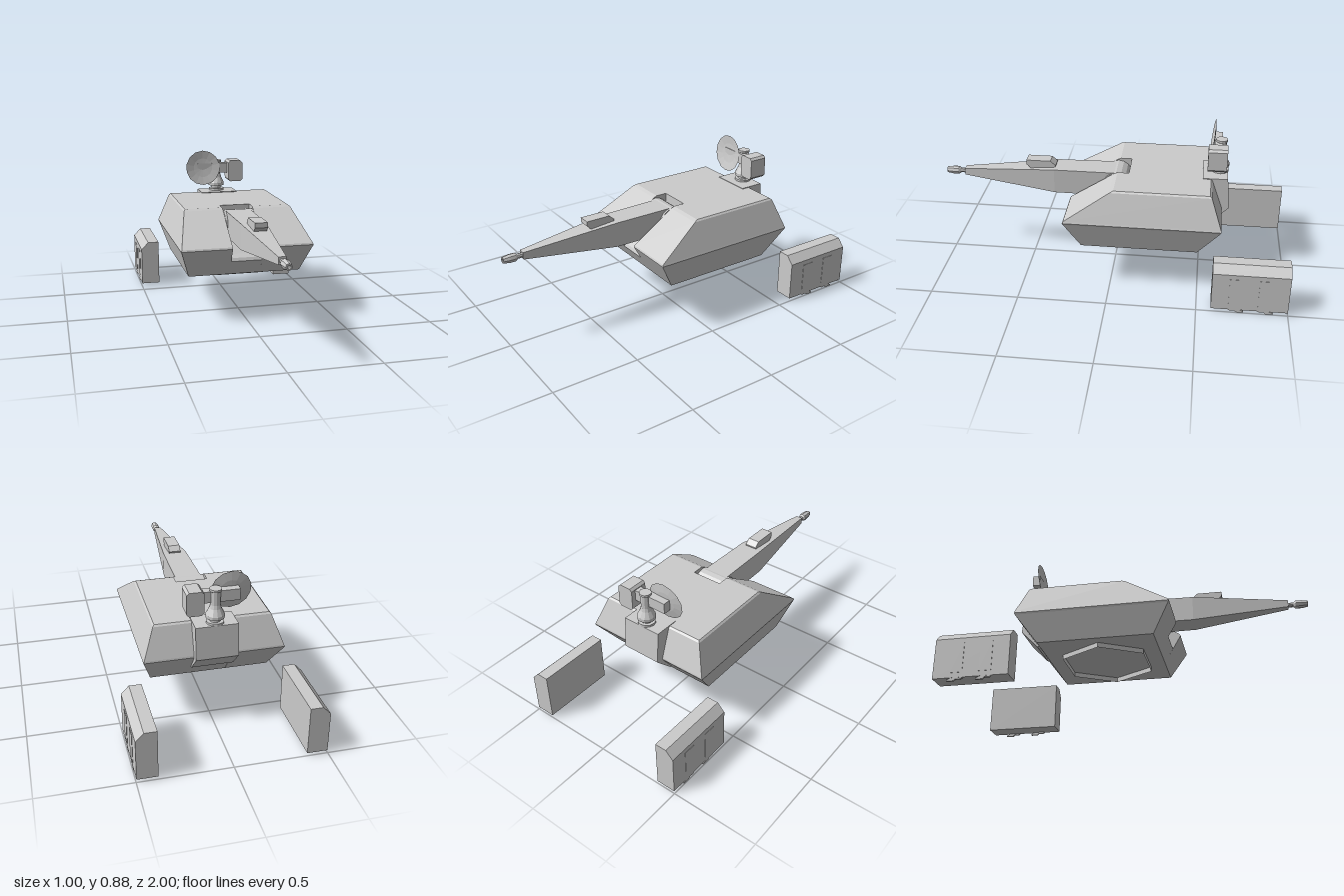
import * as THREE from 'three';

const grey = new THREE.MeshStandardMaterial({ color: 0xcccccc, flatShading: true });
const thin = new THREE.MeshStandardMaterial({ color: 0xcccccc, flatShading: true, side: THREE.DoubleSide });
const smooth = new THREE.MeshStandardMaterial({ color: 0xcccccc });

function add(parent, name, geometry, x = 0, y = 0, z = 0, material = grey) {
  const mesh = new THREE.Mesh(geometry, material);
  mesh.name = name;
  mesh.position.set(x, y, z);
  parent.add(mesh);
  return mesh;
}

// Closed solid through rectangular sections [height, xMin, xMax, zMin, zMax], bottom to top
function loft(sections) {
  const pos = [], idx = [];
  for (const [h, x0, x1, z0, z1] of sections) {
    pos.push(x1, h, z1, x1, h, z0, x0, h, z0, x0, h, z1);
  }
  for (let i = 0; i < sections.length - 1; i++) {
    for (let j = 0; j < 4; j++) {
      const a = i * 4 + j, b = i * 4 + (j + 1) % 4;
      idx.push(a, b, b + 4, a, b + 4, a + 4);
    }
  }
  const t = (sections.length - 1) * 4;
  idx.push(0, 2, 1, 0, 3, 2, t, t + 1, t + 2, t, t + 2, t + 3);
  const g = new THREE.BufferGeometry();
  g.setAttribute('position', new THREE.Float32BufferAttribute(pos, 3));
  g.setIndex(idx);
  const flat = g.toNonIndexed();
  flat.computeVertexNormals();
  return flat;
}

function outline(points) {
  return new THREE.Shape(points.map(([x, y]) => new THREE.Vector2(x, y)));
}

// Side profile of (z, y) points given a width across x
function sideProfile(points, width) {
  const g = new THREE.ExtrudeGeometry(outline(points), { depth: width, bevelEnabled: false });
  g.translate(0, 0, -width / 2);
  return g.rotateY(-Math.PI / 2);
}

// Front profile of (x, y) points given a depth along z
function frontProfile(points, depth) {
  const g = new THREE.ExtrudeGeometry(outline(points), { depth, bevelEnabled: false });
  return g.translate(0, 0, -depth / 2);
}

function lathe(points, sides) {
  return new THREE.LatheGeometry(points.map(([r, y]) => new THREE.Vector2(r, y)), sides);
}

function buildTurret(model) {
  const turret = new THREE.Group();
  turret.name = 'turret';
  model.add(turret);

  // Two angular halves on either side of the gun slot: [y, half width, back z, front z]
  const levels = [
    [0.262, 0.325, -0.49, 0.16],
    [0.42, 0.376, -0.61, 0.25],
    [0.43, 0.38, -0.615, 0.255],
    [0.44, 0.376, -0.613, 0.25],
    [0.603, 0.317, -0.555, 0.0],
    [0.612, 0.308, -0.545, -0.02],
  ];
  const slot = 0.09;
  add(turret, 'leftHull', loft(levels.map(([y, w, b, f]) => [y, slot, w, b, f])));
  add(turret, 'rightHull', loft(levels.map(([y, w, b, f]) => [y, -w, -slot, b, f])));

  // Centre section, cut away for the gun
  add(turret, 'centreHull', sideProfile([
    [-0.49, 0.262], [0.16, 0.262], [0.208, 0.347], [0.2, 0.365], [0.175, 0.382],
    [0.08, 0.46], [-0.085, 0.46], [-0.085, 0.612], [-0.545, 0.612], [-0.615, 0.43],
  ], slot * 2));

  // Open six-sided ring underneath
  const ring = new THREE.CylinderGeometry(0.268, 0.268, 0.03, 6, 1, true).rotateY(Math.PI / 6);
  const angle = Math.PI / 3;
  ring.rotateY(angle);
  add(turret, 'turretRing', ring, 0, 0.249, -0.16, thin);

  // Rear box carrying the sensor mast
  add(turret, 'rearBox', sideProfile([
    [-0.5, 0.616], [-0.64, 0.616], [-0.655, 0.435], [-0.556, 0.335], [-0.5, 0.335],
  ], 0.228));
}

function buildGun(model) {
  const gun = new THREE.Group();
  gun.name = 'gun';
  model.add(gun);

  const pivot = new THREE.CylinderGeometry(0.075, 0.075, 0.176, 16).rotateZ(Math.PI / 2);
  add(gun, 'gunPivot', pivot, 0, 0.525, -0.01);

  // Tapered housing: lofted upward, then laid forward so local z becomes -y
  const housing = loft([
    [-0.02, -0.075, 0.075, -0.598, -0.45],
    [0.35, -0.07, 0.07, -0.595, -0.45],
    [0.89, -0.02, 0.02, -0.548, -0.508],
  ]).rotateX(Math.PI / 2);
  add(gun, 'gunHousing', housing);

  const muzzle = lathe([
    [0, 0], [0.014, 0], [0.014, 0.03], [0.024, 0.042], [0.024, 0.075], [0.018, 0.112], [0.01, 0.112], [0.008, 0.09], [0, 0.09],
  ], 8).rotateX(Math.PI / 2);
  add(gun, 'muzzle', muzzle, 0, 0.526, 0.888);

  add(gun, 'gunSight', sideProfile([
    [0.35, 0.585], [0.485, 0.575], [0.515, 0.605], [0.515, 0.632], [0.375, 0.632], [0.345, 0.605],
  ], 0.07));
}

function buildSensorMast(model) {
  const mast = new THREE.Group();
  mast.name = 'sensorMast';
  mast.position.set(0, 0, -0.595);
  model.add(mast);

  add(mast, 'mastColumn', lathe([
    [0, 0.612], [0.048, 0.612], [0.048, 0.628], [0.03, 0.628], [0.03, 0.645], [0.05, 0.647],
    [0.05, 0.665], [0.032, 0.7], [0.027, 0.72], [0.027, 0.793], [0.033, 0.797], [0.033, 0.809], [0, 0.809],
  ], 12));
  add(mast, 'crossArm', new THREE.BoxGeometry(0.2, 0.062, 0.045), -0.03, 0.762, 0.017);

  // Camera box with clipped corners
  add(mast, 'cameraBox', frontProfile([
    [0.078, 0.677], [0.144, 0.677], [0.157, 0.69], [0.157, 0.797],
    [0.144, 0.81], [0.078, 0.81], [0.065, 0.797], [0.065, 0.69],
  ], 0.105), 0, 0, 0.02);

  // Shallow dish, tipped slightly upward
  const dish = lathe([[0, -0.012], [0.06, -0.008], [0.109, 0]], 14).rotateX(Math.PI / 2 - 0.12);
  add(mast, 'dish', dish, -0.095, 0.767, 0.049, thin);
}

function buildSidePods(model) {
  for (const side of [1, -1]) {
    const pod = new THREE.Group();
    pod.name = side > 0 ? 'leftPod' : 'rightPod';
    pod.position.z = -0.79;
    model.add(pod);

    const points = [[0.388, 0.017], [0.498, 0.017], [0.498, 0.243], [0.455, 0.288], [0.388, 0.288]];
    add(pod, 'podBody', frontProfile(points.map(([x, y]) => [x * side, y]), 0.42));

    // Stepped hooks along the outer lower edge
    for (const z of [0.06, -0.1]) {
      add(pod, 'hook', sideProfile([
        [0.06, 0.018], [0.045, 0.008], [0.02, 0.01], [0.01, 0], [-0.03, 0], [-0.03, 0.006], [-0.005, 0.018],
      ], 0.012), 0.491 * side, 0, z);
      add(pod, 'sidePlate', new THREE.BoxGeometry(0.004, 0.17, 0.07), 0.498 * side, 0.13, z + 0.02, smooth);
    }
  }
}

export function createModel() {
  const model = new THREE.Group();
  model.name = 'gunTurret';
  buildTurret(model);
  buildGun(model);
  buildSensorMast(model);
  buildSidePods(model);
  return model;
}
